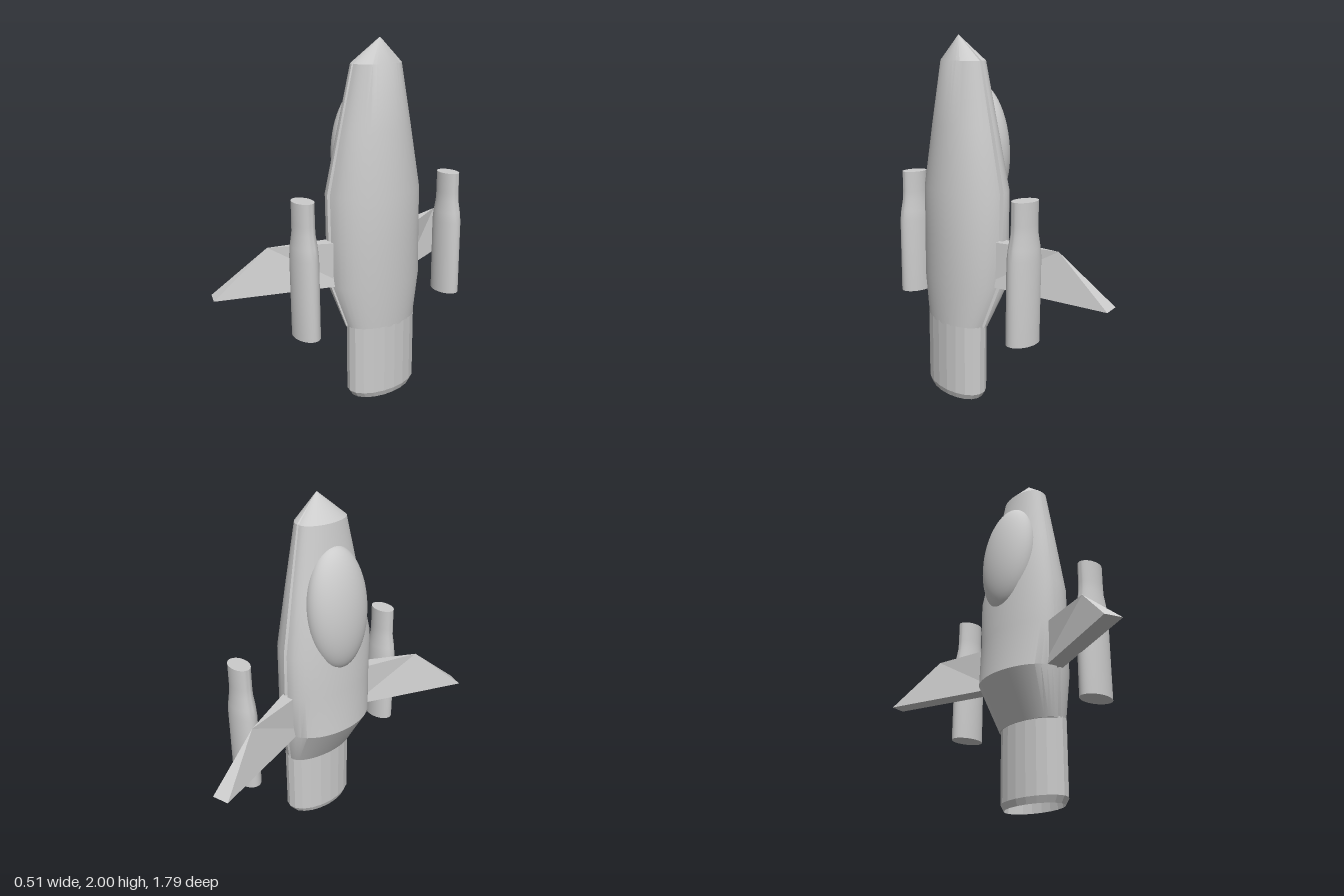
import * as THREE from 'three';
import { toCreasedNormals } from 'three/addons/utils/BufferGeometryUtils.js';

const grey = new THREE.MeshStandardMaterial({ color: 0xcccccc });
const greyDouble = new THREE.MeshStandardMaterial({ color: 0xcccccc, side: THREE.DoubleSide });
const greyFlat = new THREE.MeshStandardMaterial({ color: 0xcccccc, side: THREE.DoubleSide, flatShading: true });

function part(name, geometry, material = grey) {
  const mesh = new THREE.Mesh(geometry, material);
  mesh.name = name;
  return mesh;
}

function indexed(points, index) {
  const geo = new THREE.BufferGeometry();
  geo.setAttribute('position', new THREE.Float32BufferAttribute(points, 3));
  geo.setIndex(index);
  return geo;
}

// Skin over closed rings of equal length, listed from bottom to top
function loft(rings) {
  const n = rings[0].length, index = [];
  for (let i = 0; i < rings.length - 1; i++) {
    for (let j = 0; j < n; j++) {
      const a = i * n + j, b = i * n + (j + 1) % n;
      index.push(a, a + n, b, b, a + n, b + n);
    }
  }
  const geo = indexed(rings.flat(2), index);
  return toCreasedNormals(geo, 0.45);
}

// Hull section: belly arc (+x), groove, canopy-side arc (-x), groove
function hullRing([y, half, seam, back, belly]) {
  const ring = [], steps = 20, gap = half * 0.045;
  const arc = (from, edge, reach) => {
    for (let k = 0; k <= steps; k++) {
      const a = from + Math.PI * k / steps;
      ring.push([edge + Math.abs(Math.cos(a)) * reach, y, Math.sin(a) * half]);
    }
  };
  arc(-Math.PI / 2, seam + gap, belly - seam - gap);
  ring.push([seam, y, half * 0.93]);
  arc(Math.PI / 2, seam - gap, back - seam + gap);
  ring.push([seam, y, -half * 0.93]);
  return ring;
}

function hull() {
  // y, half width in z, seam x, canopy-side x, belly x
  const sections = [
    [0.43, 0.001, 0.1, 0.099, 0.101],
    [0.43, 0.222, 0.09, -0.02, 0.235],
    [0.68, 0.285, 0.03, -0.165, 0.25],
    [0.93, 0.285, 0.02, -0.142, 0.25],
    [1.19, 0.285, 0.015, -0.138, 0.25],
    [1.53, 0.219, 0.035, -0.085, 0.209],
    [1.87, 0.15, 0.055, -0.035, 0.165],
    [2.0, 0.002, 0.09, 0.088, 0.092],
  ];
  return part('hull', loft(sections.map(hullRing)));
}

// Elliptical turned part
function turned(profile, sides, sx, sz) {
  const geo = new THREE.LatheGeometry(profile.map(p => new THREE.Vector2(...p)), sides);
  geo.scale(sx, 1, sz);
  return geo;
}

// Wing: thick root, sharp kink on the leading edge, thick trailing tip
function wing(name, side) {
  const at = z => 0.01 - 0.37 * (z - 0.28);
  const pair = (z, y) => [at(z) + 0.045, y, z + 0.015, at(z) - 0.045, y, z - 0.015];
  const points = [
    ...pair(0.2, 0.93), ...pair(0.2, 0.68),
    at(0.6), 0.93, 0.6,
    ...pair(0.88, 0.68),
  ];
  const index = [
    0, 1, 4, 0, 4, 2, 2, 4, 5, 1, 3, 4, 3, 6, 4,
    4, 6, 5, 2, 5, 6, 2, 6, 3, 0, 2, 3, 0, 3, 1,
  ];
  const mesh = part(name, indexed(points, index).toNonIndexed(), greyFlat);
  mesh.geometry.computeVertexNormals();
  mesh.scale.z = side;
  return mesh;
}

function pod(name, x, z) {
  const profile = [[0, 0.46], [1, 0.46], [1, 0.91], [0.93, 0.97], [0.8, 1.04], [0.78, 1.09], [0.78, 1.21], [0, 1.21]];
  const mesh = part(name, toCreasedNormals(turned(profile, 40, 0.1, 0.066), 0.6));
  mesh.position.set(x, 0, z);
  return mesh;
}

export function createModel() {
  const model = new THREE.Group();
  model.name = 'spacecraft';
  model.add(hull());

  // Hollow tail nozzle with a bevelled lip
  const tail = part('tailNozzle',
    turned([[0.9, 0.44], [0.9, 0], [1, 0.035], [1, 0.44]], 20, 0.128, 0.224), greyFlat);
  tail.position.x = 0.108;
  model.add(tail);

  // Bubble canopy, tilted along the hull's slope
  const canopy = part('canopy', new THREE.SphereGeometry(1, 40, 28), greyDouble);
  canopy.scale.set(0.12, 0.345, 0.19);
  canopy.position.set(-0.07, 1.41, 0);
  canopy.rotation.z = -0.1;
  model.add(canopy);

  model.add(wing('frontWing', 1), wing('rearWing', -1));
  model.add(pod('frontEnginePod', 0.08, 0.49), pod('rearEnginePod', 0.07, -0.54));
  return model;
}
